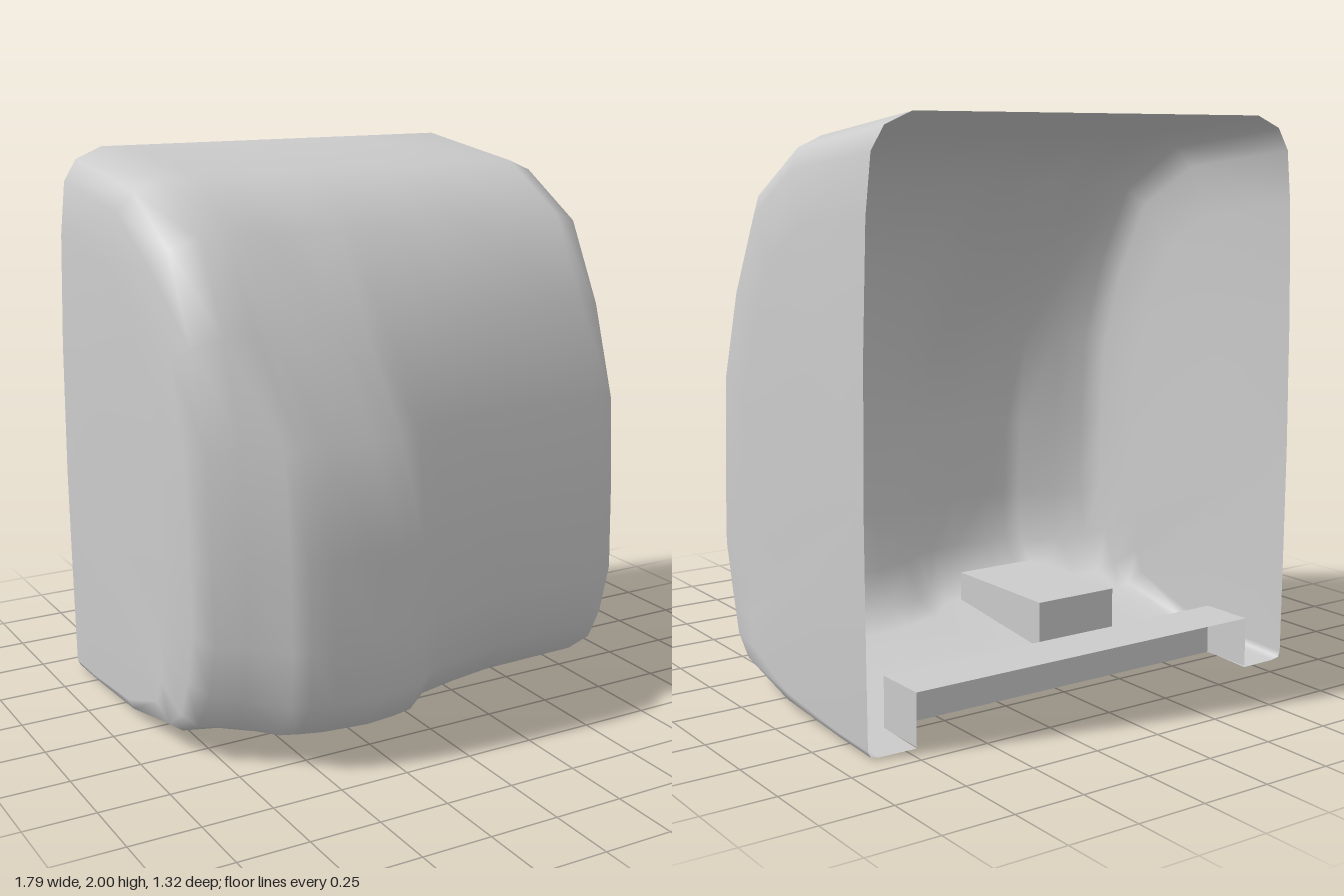
import * as THREE from 'three';

const material = new THREE.MeshStandardMaterial({ color: 0xcccccc, side: THREE.DoubleSide });

// Side profile from top back, over the front, to bottom back:
// z, y, bulge weight, bulge lift in y, squareness of the side corner
const rows = [
  [-0.66, 2.0, 0, 0, 0], [-0.1, 1.93, 0, 0, 0], [0.2, 1.76, 0, 0, 0], [0.36, 1.46, 0, 0, 0],
  [0.47, 1.12, 0.85, 0, 0], [0.493, 0.75, 0.93, 0, 0], [0.5, 0.45, 0.97, 0, 0],
  [0.45, 0.25, 1.24, 0, 0], [0.36, 0.12, 1.27, 0, 0.3], [0.24, 0.07, 1.27, 0.02, 0.6],
  [-0.1, 0.025, 0, 0, 0.9], [-0.46, 0.012, 0, 0, 1], [-0.66, 0.005, 0, 0, 1],
];

// Front columns: x, bulge depth
const front = [
  [-0.71, 0.005], [-0.6, 0.11], [-0.54, 0.13], [-0.46, 0.15], [-0.3, 0.165], [-0.19, 0.155],
  [-0.11, 0.14], [0, 0.065], [0.15, 0.035], [0.32, 0.01], [0.71, 0],
];

// Rounded side corner: x and scale towards the back centre (soft and square versions)
const soft = [[0.81, 0.965], [0.857, 0.9], [0.877, 0.74], [0.89, 0.4], [0.895, 0]];
const square = [[0.85, 0.998], [0.88, 0.99], [0.889, 0.965], [0.893, 0.4], [0.895, 0]];
const centre = { y: 0.8, z: -0.66 };

function rowPoints([z, y, weight, lift, squareness]) {
  const corner = soft.map(([x, s], k) => {
    const px = THREE.MathUtils.lerp(x, square[k][0], squareness);
    const ps = THREE.MathUtils.lerp(s, square[k][1], squareness);
    return [px, centre.y + (y - centre.y) * ps, centre.z + (z - centre.z) * ps];
  });
  const middle = front.map(([x, d]) => [x, y + (lift * d) / 0.165, z + weight * d]);
  const mirrored = corner.map(([x, py, pz]) => [-x, py, pz]).reverse();
  return [...mirrored, ...middle, ...corner];
}

// Thin cover, open at the back, with cut-outs for the outlet and the rear slot
function coverGeometry() {
  const grid = rows.map(rowPoints);
  const n = grid[0].length;
  const first = soft.length;
  const isHole = (i, j) => {
    const f = j - first;
    const rearSlot = i === 11 && f >= 0 && f < front.length - 1;
    const outlet = i === 9 && f >= 2 && f < 5;
    return rearSlot || outlet;
  };
  const index = [];
  for (let i = 0; i < rows.length - 1; i++) {
    for (let j = 0; j < n - 1; j++) {
      if (isHole(i, j)) continue;
      const a = i * n + j, b = a + n;
      index.push(a, b, b + 1, a, b + 1, a + 1);
    }
  }
  const geometry = new THREE.BufferGeometry();
  geometry.setAttribute('position', new THREE.Float32BufferAttribute(grid.flat(2), 3));
  geometry.setIndex(index);
  geometry.computeVertexNormals();
  return geometry;
}

// Box between two corners without the listed faces (0 +x, 1 -x, 2 +y, 3 -y, 4 +z, 5 -z)
function openBox(name, min, max, missing) {
  const size = max.map((v, k) => v - min[k]);
  const geometry = new THREE.BoxGeometry(...size);
  geometry.translate(...max.map((v, k) => (v + min[k]) / 2));
  const all = Array.from(geometry.index.array);
  geometry.setIndex(all.filter((_, k) => !missing.includes(Math.floor(k / 6))));
  geometry.clearGroups();
  const mesh = new THREE.Mesh(geometry, material);
  mesh.name = name;
  return mesh;
}

export function createModel() {
  const group = new THREE.Group();
  group.name = 'wallDryerCover';

  const cover = new THREE.Mesh(coverGeometry(), material);
  cover.name = 'cover';
  group.add(cover);

  // Rear slot, open to the back and below
  group.add(openBox('rearSlot', [-0.71, 0.01, -0.66], [0.71, 0.19, -0.46], [3, 5]));

  // Air outlet duct, open below; its lower rim follows the rising underside
  const outlet = openBox('airOutlet', [-0.54, 0.025, -0.1], [-0.19, 0.2, 0.43], [3]);
  const p = outlet.geometry.attributes.position;
  for (let i = 0; i < p.count; i++) {
    if (p.getY(i) < 0.1 && p.getZ(i) > 0) p.setY(i, 0.088);
  }
  group.add(outlet);

  return group;
}
